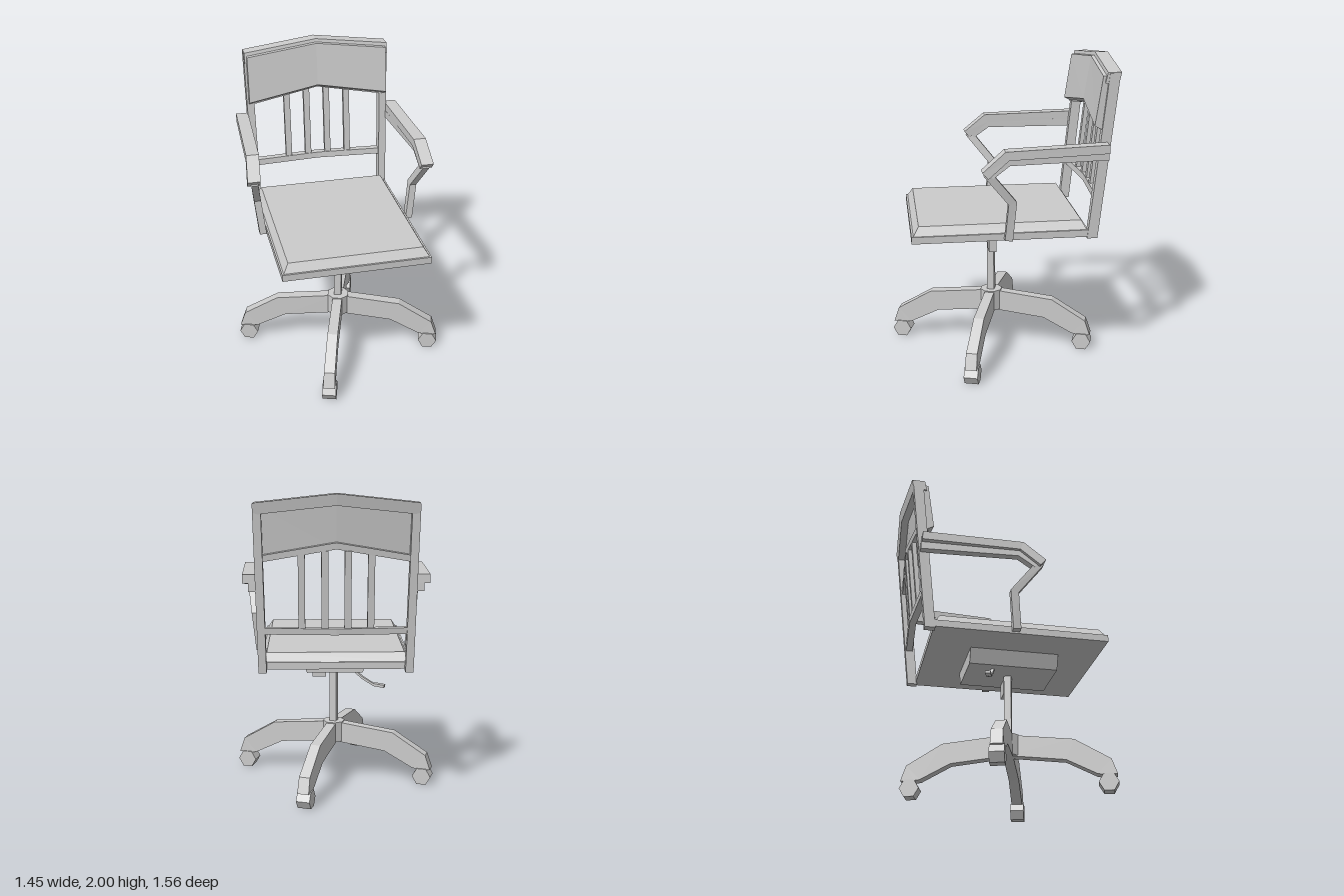
import * as THREE from 'three';

const mat = new THREE.MeshStandardMaterial({ color: 0xcccccc, flatShading: true });
const V = (x, y, z) => new THREE.Vector3(x, y, z);

function add(parent, name, geo, x = 0, y = 0, z = 0) {
  const m = new THREE.Mesh(geo, mat);
  m.name = name;
  m.position.set(x, y, z);
  parent.add(m);
  return m;
}

// Skin a row of equal-sized rings, cap both ends, and face everything outward.
function loft(rings) {
  const tris = [], n = rings[0].length, last = rings[rings.length - 1];
  for (let i = 0; i + 1 < rings.length; i++) {
    for (let j = 0; j < n; j++) {
      const k = (j + 1) % n, a = rings[i], b = rings[i + 1];
      tris.push([a[j], a[k], b[k]], [a[j], b[k], b[j]]);
    }
  }
  for (let j = 1; j + 1 < n; j++) {
    tris.push([rings[0][0], rings[0][j + 1], rings[0][j]], [last[0], last[j], last[j + 1]]);
  }
  const volume = tris.reduce((s, [a, b, c]) => s + a.dot(b.clone().cross(c)), 0);
  const pts = tris.flatMap(t => (volume < 0 ? [t[0], t[2], t[1]] : t));
  const g = new THREE.BufferGeometry().setFromPoints(pts);
  g.computeVertexNormals();
  return g;
}

// Rectangular bar along points, bending in the y-z plane, with mitred joints.
function bar(points, w, h) {
  const dir = i => V(0, points[i + 1].y - points[i].y, points[i + 1].z - points[i].z).normalize();
  return loft(points.map((p, i) => {
    const a = dir(Math.max(i - 1, 0)), b = dir(Math.min(i, points.length - 2));
    const t = a.clone().add(b).normalize();
    const s = h / 2 / t.dot(b), dy = t.z * s, dz = -t.y * s;
    return [[-1, -1], [1, -1], [1, 1], [-1, 1]].map(([u, v]) =>
      V(p.x + u * w / 2, p.y + v * dy, p.z + v * dz));
  }));
}

// Horizontal rectangle used as a ring.
const rect = (hx, z0, z1, y) => [V(-hx, y, z0), V(hx, y, z0), V(hx, y, z1), V(-hx, y, z1)];

// Lean and shallow bow of the backrest.
const leanZ = y => -0.59 - 0.106 * (y - 0.9);
const bow = x => -0.03 * (1 - Math.abs(x) / 0.48);

// Bowed rail: corners are [z, y, rise at the middle].
const bowed = (half, corners) => loft([-half, 0, half].map(x =>
  corners.map(([z, y, rise]) => V(x, y + (x === 0 ? rise : 0), z + (x === 0 ? -0.03 : 0)))));

function createBase() {
  const base = new THREE.Group();
  base.name = 'base';
  add(base, 'hub', new THREE.CylinderGeometry(0.075, 0.075, 0.14, 8).rotateY(Math.PI / 8), 0, 0.32, 0);
  // Leg stations: bottom radius and height, top radius and height, half width
  const stations = [
    [0, 0.25, 0, 0.39, 0.032], [0.37, 0.21, 0.425, 0.345, 0.034],
    [0.565, 0.11, 0.655, 0.206, 0.036], [0.6, 0.105, 0.69, 0.105, 0.038],
  ];
  for (let i = 0; i < 4; i++) {
    const arm = new THREE.Group();
    arm.name = 'leg';
    arm.rotation.y = i * Math.PI / 2;
    add(arm, 'legBeam', loft(stations.map(([rb, yb, rt, yt, w]) =>
      [V(rb, yb, -w), V(rb, yb, w), V(rt, yt, w), V(rt, yt, -w)])));
    const wheel = new THREE.CylinderGeometry(0.0635, 0.0635, 0.09, 6).rotateY(Math.PI / 2).rotateX(Math.PI / 2);
    // Turn the hexagon so that its flats lie on the ground
    wheel.computeBoundingBox();
    if (wheel.boundingBox.max.y > 0.06) wheel.rotateZ(Math.PI / 6);
    add(arm, 'caster', wheel, 0.632, 0.055, 0);
    base.add(arm);
  }
  base.rotation.y = 0.025;
  return base;
}

function createBack() {
  const back = new THREE.Group();
  back.name = 'backrest';
  for (const s of [-1, 1]) {
    add(back, 'backPost', loft([0.89, 1.94].map(y => {
      const x = s * (0.455 + 0.015 * (y - 0.89)), z = leanZ(y);
      return [V(x - 0.025, y, z - 0.033), V(x + 0.025, y, z - 0.033),
        V(x + 0.025, y, z + 0.033), V(x - 0.025, y, z + 0.033)];
    })));
  }
  // Head panel, with rails behind its upper and lower edges
  add(back, 'headPanel', bowed(0.478,
    [[-0.585, 1.615, 0.08], [-0.64, 1.585, 0.08], [-0.685, 1.93, 0.055], [-0.63, 1.92, 0.055]]));
  add(back, 'topRail', bowed(0.492,
    [[-0.64, 1.88, 0.055], [-0.725, 1.875, 0.055], [-0.74, 1.945, 0.055], [-0.655, 1.945, 0.055]]));
  add(back, 'panelLowerRail', bowed(0.455,
    [[-0.62, 1.59, 0.08], [-0.685, 1.59, 0.08], [-0.69, 1.63, 0.08], [-0.62, 1.63, 0.08]]));
  add(back, 'crossRail', bowed(0.45,
    [[-0.595, 1.14, 0], [-0.64, 1.14, 0], [-0.645, 1.18, 0], [-0.6, 1.18, 0]]));
  // Slats
  for (const x of [-0.21, -0.07, 0.07, 0.21]) {
    add(back, 'slat', bar([1.16, 1.66].map(y => V(x, y, leanZ(y) + bow(x))), 0.042, 0.03));
  }
  return back;
}

function createArm(s) {
  const arm = new THREE.Group();
  arm.name = s > 0 ? 'leftArm' : 'rightArm';
  const path = pts => pts.map(([x, y, z]) => V(s * x, y, z));
  add(arm, 'armrest', bar(path([[0.525, 1.487, -0.665], [0.55, 1.47, -0.03], [0.565, 1.355, 0.105]]), 0.082, 0.055));
  add(arm, 'armSupport', bar(path([[0.505, 1.435, -0.67], [0.545, 1.43, -0.04], [0.555, 1.35, 0.07]]), 0.05, 0.05));
  add(arm, 'armUpright', bar(path([[0.56, 1.36, 0.09], [0.527, 1.16, -0.07], [0.5, 0.91, -0.05]]), 0.045, 0.05));
  return arm;
}

export function createModel() {
  const model = new THREE.Group();
  model.name = 'swivelChair';
  const chair = new THREE.Group();
  chair.name = 'chair';
  chair.position.set(0.015, 0, 0.078);
  model.add(chair);

  chair.add(createBase());
  add(chair, 'column', new THREE.BoxGeometry(0.048, 0.5, 0.048), 0, 0.57, 0);

  // Height lever, ending in a flat paddle
  const lever = add(chair, 'lever', bar(
    [V(0, 0.81, 0.14), V(0, 0.735, 0.225), V(0, 0.695, 0.3), V(0, 0.69, 0.32)], 0.02, 0.015), 0, 0, -0.08);
  lever.rotation.y = -Math.PI / 2;
  const paddle = add(chair, 'leverPaddle', new THREE.BoxGeometry(0.075, 0.018, 0.035), -0.345, 0.69, -0.08);
  paddle.rotation.z = 0.1;

  // Everything above the column is swivelled
  const upper = new THREE.Group();
  upper.name = 'swivelSeat';
  upper.rotation.y = 0.337;
  chair.add(upper);
  add(upper, 'seatBoard', loft([rect(0.476, -0.565, 0.552, 0.9), rect(0.476, -0.565, 0.552, 0.945)]));
  add(upper, 'seatCushion', loft([rect(0.465, -0.555, 0.54, 0.945), rect(0.432, -0.525, 0.505, 1.0)]));
  add(upper, 'mechanism', loft([rect(0.182, -0.29, 0.29, 0.805), rect(0.22, -0.29, 0.29, 0.9)]));
  add(upper, 'tensionKnob', new THREE.BoxGeometry(0.095, 0.11, 0.048), 0.1, 0.76, 0.006);
  upper.add(createBack(), createArm(1), createArm(-1));
  return model;
}
